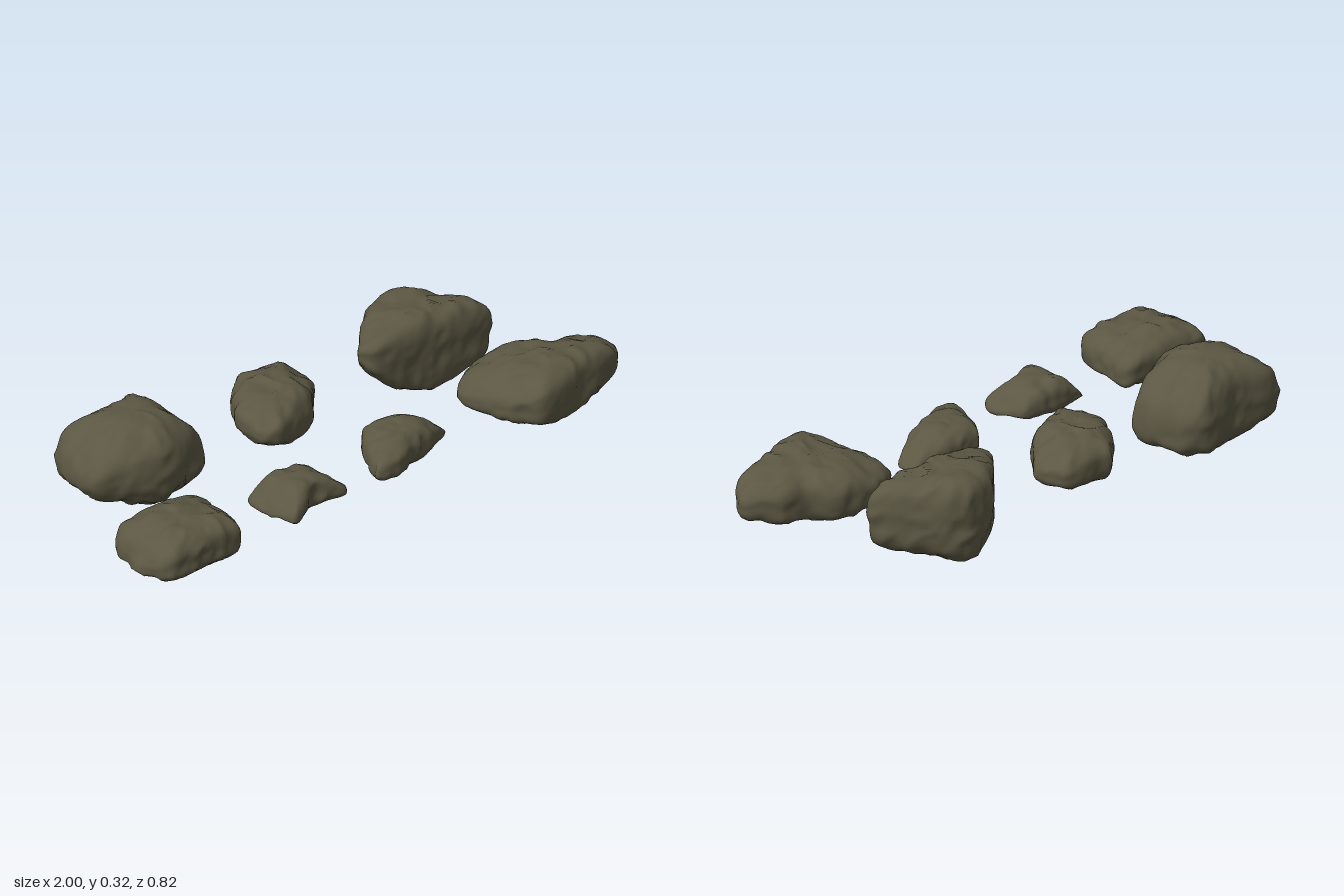
import * as THREE from 'three';
import { mergeVertices } from 'three/addons/utils/BufferGeometryUtils.js';

const stone = new THREE.MeshStandardMaterial({ color: 0x5c5743 });
stone.name = 'olive stone';

// Seeded smooth value noise, -1..1
function hash(x, y, z) {
  const s = Math.sin(x * 127.1 + y * 311.7 + z * 74.7) * 43758.5453;
  return (s - Math.floor(s)) * 2 - 1;
}
function noise(x, y, z) {
  const ix = Math.floor(x), iy = Math.floor(y), iz = Math.floor(z);
  const [u, v, w] = [x - ix, y - iy, z - iz].map((t) => t * t * (3 - 2 * t));
  const mix = THREE.MathUtils.lerp;
  const row = (j, k) => mix(hash(ix, iy + j, iz + k), hash(ix + 1, iy + j, iz + k), u);
  return mix(mix(row(0, 0), row(1, 0), v), mix(row(0, 1), row(1, 1), v), w);
}

// Weathered lumps, chiselled creases and fine grain along the normals
function weather(geo) {
  const pos = geo.attributes.position, normal = geo.attributes.normal;
  const p = new THREE.Vector3(), n = new THREE.Vector3();
  for (let i = 0; i < pos.count; i++) {
    p.fromBufferAttribute(pos, i);
    n.fromBufferAttribute(normal, i);
    const lump = noise(p.x * 10, p.y * 10, p.z * 10) * 0.008;
    const crease = (0.4 - Math.abs(noise(p.x * 17 + 5, p.y * 14, p.z * 17))) * 0.013;
    const grain = noise(p.x * 42, p.y * 36, p.z * 42) * 0.003;
    p.addScaledVector(n, lump + crease + grain - 0.002);
    pos.setXYZ(i, p.x, p.y, p.z);
  }
}

// A rock lofted around its plan corners ([x, z], clockwise from above).
// top and bottom give heights at the right-hand end (-x), middle and left-hand
// end (+x); slope tips the top towards the front.
function makeRock(name, plan, top, bottom, boxiness, slope = 0) {
  const N = 88, M = 36;
  const corners = plan.map(([x, z]) => new THREE.Vector3(x, 0, z));
  const ring = new THREE.CatmullRomCurve3(corners, true, 'catmullrom', 0.25).getSpacedPoints(N).slice(0, N);
  const hub = new THREE.Vector3();
  ring.forEach((p) => hub.addScaledVector(p, 1 / N));
  const xs = ring.map((p) => p.x);
  const minX = Math.min(...xs), maxX = Math.max(...xs);
  const heightAt = ([start, middle, end], x, power) => {
    const t = x < hub.x ? (hub.x - x) / (hub.x - minX) : (x - hub.x) / (maxX - hub.x);
    return THREE.MathUtils.lerp(middle, x < hub.x ? start : end, Math.pow(t, power));
  };

  const vertices = [], index = [];
  for (let j = 0; j <= M; j++) {
    const a = (j / M - 0.5) * Math.PI;
    const c = j === 0 || j === M ? 0 : Math.cos(a), s = Math.sin(a);
    const r = Math.pow(Math.pow(c, boxiness) + Math.pow(Math.abs(s), boxiness), -1 / boxiness);
    for (let i = 0; i < N; i++) {
      const p = hub.clone().lerp(ring[i], c * r);
      const high = heightAt(top, p.x, 2.5) + slope * (p.z - hub.z);
      const low = heightAt(bottom, p.x, 1.6);
      const waist = THREE.MathUtils.lerp(low, high, 0.45);
      const y = waist + (s > 0 ? high - waist : waist - low) * s * r;
      vertices.push(p.x, y, p.z);
      if (j < M) {
        const q = j * N + i, next = j * N + (i + 1) % N;
        index.push(q, q + N, next, next, q + N, next + N);
      }
    }
  }
  let geo = new THREE.BufferGeometry();
  geo.setAttribute('position', new THREE.Float32BufferAttribute(vertices, 3));
  geo.setIndex(index);
  geo = mergeVertices(geo, 1e-5);
  geo.computeVertexNormals();
  weather(geo);
  geo.computeVertexNormals();
  const mesh = new THREE.Mesh(geo, stone);
  mesh.name = name;
  return mesh;
}

export function createModel() {
  const group = new THREE.Group();
  group.name = 'rockSet';

  // Back row
  group.add(makeRock('backRightBoulder',
    [[-.78, -.39], [-.58, -.38], [-.43, -.405], [-.37, -.34], [-.38, -.14], [-.6, -.055], [-.82, -.165]],
    [.235, .325, .24], [.11, .035, .03], 3.2));
  group.add(makeRock('backMiddleRock',
    [[-.03, -.36], [.14, -.33], [.155, -.21], [.02, -.08], [-.155, -.02], [-.22, -.07], [-.2, -.18], [-.12, -.29]],
    [.22, .24, .195], [.13, .08, .1], 3.2));
  group.add(makeRock('backLeftBoulder',
    [[.305, -.17], [.47, -.33], [.6, -.36], [.68, -.3], [.8, -.1], [.35, -.11]],
    [.26, .295, .265], [.18, .01, .06], 5));

  // Front row
  group.add(makeRock('frontRightSlab',
    [[-.93, .08], [-.6, .1], [-.66, .345], [-.95, .36], [-1, .215]],
    [.15, .23, .18], [.08, .072, .075], 3.8));
  group.add(makeRock('frontSmallRock',
    [[-.44, .13], [-.2, .15], [-.16, .27], [-.18, .315], [-.29, .295], [-.43, .345]],
    [.13, .2, .14], [.09, .08, .085], 2.7));
  group.add(makeRock('frontMiddleRock',
    [[-.06, .31], [.07, .105], [.17, .1], [.32, .14], [.32, .22], [.03, .335]],
    [.18, .19, .11], [.09, .075, .075], 3));
  group.add(makeRock('frontLeftBoulder',
    [[.47, .1], [.61, .04], [.77, .065], [.82, .135], [.915, .165], [.995, .26], [.93, .335], [.565, .405], [.47, .2]],
    [.19, .25, .215], [.095, .06, .085], 3.6, .15));
  return group;
}
